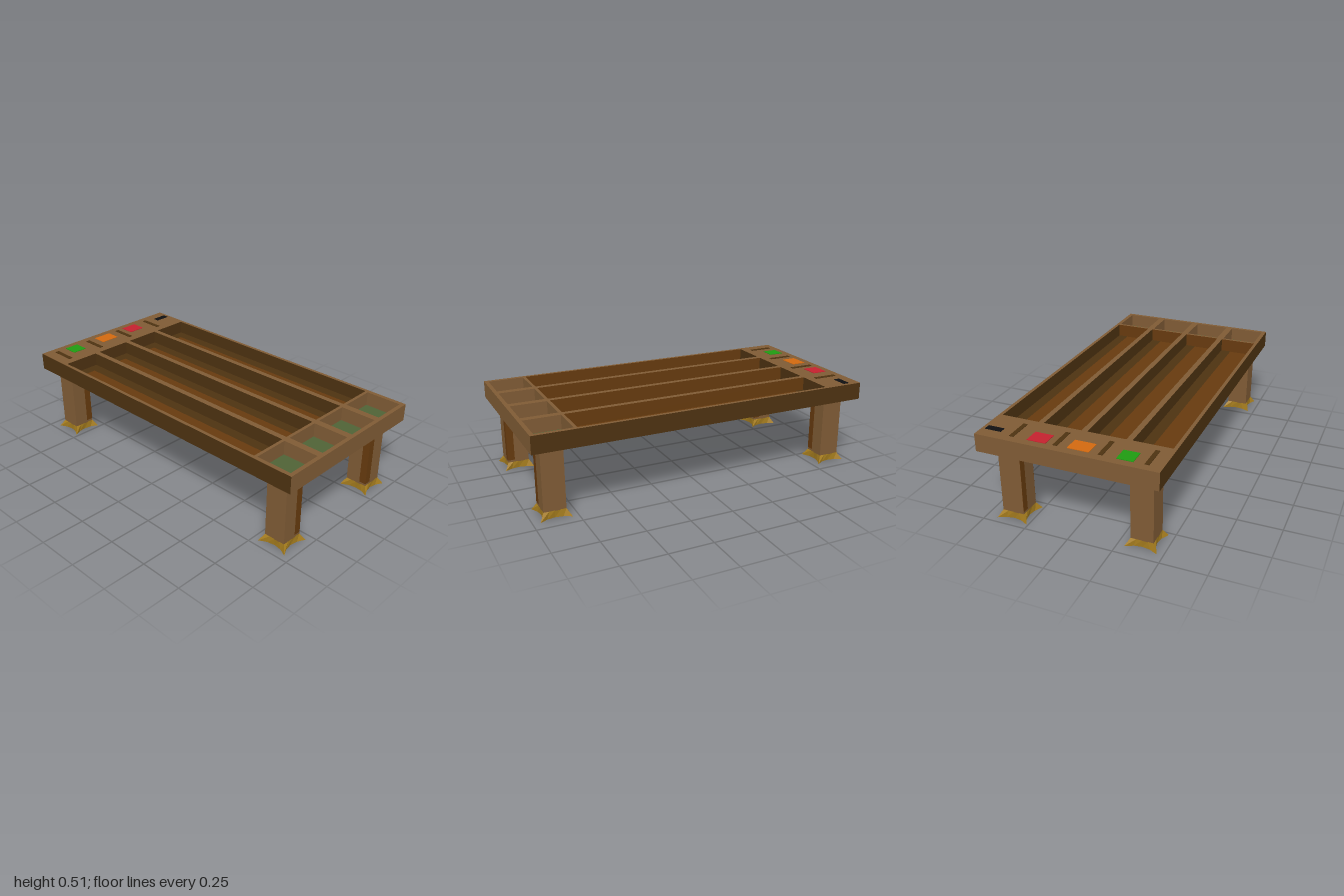
import * as THREE from 'three';

const paint = (name, color) => {
  const m = new THREE.MeshStandardMaterial({ color, side: THREE.DoubleSide });
  m.name = name;
  return m;
};

const TOP = 0.51, BASE = 0.41, FLOOR = 0.43;
const LANES = [-0.372, -0.125, 0.123, 0.372];

export function createModel() {
  const model = new THREE.Group();
  const wood = paint('light wood', 0x7f5b35);
  const darkWood = paint('dark wood', 0x4d3211);
  const redWood = paint('reddish wood', 0x663a0e);
  const felt = paint('green felt', 0x4f6236);
  const gold = paint('gold', 0xa67d1e);
  const black = paint('black', 0x0f1012);
  const red = paint('red', 0xc4222e);
  const orange = paint('orange', 0xd2690f);
  const green = paint('bright green', 0x1f9a12);

  const add = (name, geometry, material, x = 0, y = 0, z = 0, parent = model) => {
    const mesh = new THREE.Mesh(geometry, material);
    mesh.name = name;
    mesh.position.set(x, y, z);
    parent.add(mesh);
    return mesh;
  };
  const box = (name, mat, x0, x1, y0, y1, z0, z1, parent) =>
    add(name, new THREE.BoxGeometry(x1 - x0, y1 - y0, z1 - z0), mat,
      (x0 + x1) / 2, (y0 + y1) / 2, (z0 + z1) / 2, parent);
  // flat panels facing up, front (+z) and right-hand side (+x); turn flips them
  const floor = (name, mat, x0, x1, y, z0, z1) =>
    add(name, new THREE.PlaneGeometry(x1 - x0, z1 - z0).rotateX(-Math.PI / 2), mat,
      (x0 + x1) / 2, y, (z0 + z1) / 2);
  const wallZ = (name, mat, x0, x1, y0, y1, z, turn = 0) =>
    add(name, new THREE.PlaneGeometry(x1 - x0, y1 - y0).rotateY(turn), mat,
      (x0 + x1) / 2, (y0 + y1) / 2, z);
  const wallX = (name, mat, x, y0, y1, z0, z1, turn = 0) =>
    add(name, new THREE.PlaneGeometry(z1 - z0, y1 - y0).rotateY(Math.PI / 2 + turn), mat,
      x, (y0 + y1) / 2, (z0 + z1) / 2);

  // table rim
  wallZ('frontApron', darkWood, -1, 1, BASE, TOP, 0.5);
  wallZ('backApron', darkWood, -1, 1, BASE, TOP, -0.5, Math.PI);
  wallX('leftApron', wood, 1, BASE, TOP, -0.5, 0.5);
  wallX('rightApron', wood, -1, BASE, TOP, -0.5, 0.5, Math.PI);

  // open trays under the top: a long trough and a small felt bin per lane
  const top = new THREE.Shape([[-1, -0.5], [1, -0.5], [1, 0.5], [-1, 0.5]]
    .map(([x, y]) => new THREE.Vector2(x, y)));
  const tray = (name, x0, x1, z0, z1, base, back, side) => {
    top.holes.push(new THREE.Path([[x0, -z0], [x1, -z0], [x1, -z1], [x0, -z1]]
      .map(([x, y]) => new THREE.Vector2(x, y))));
    floor(name + 'Floor', base, x0, x1, FLOOR, z0, z1);
    wallZ(name + 'BackWall', back, x0, x1, FLOOR, TOP, z0);
    wallZ(name + 'FrontWall', side, x0, x1, FLOOR, TOP, z1, Math.PI);
    wallX(name + 'RightWall', back, x0, FLOOR, TOP, z0, z1);
    wallX(name + 'LeftWall', side, x1, FLOOR, TOP, z0, z1, Math.PI);
  };
  LANES.forEach((z) => {
    tray('trough', -0.763, 0.752, z - 0.108, z + 0.108, redWood, darkWood, redWood);
    floor('troughBackBand', darkWood, -0.763, 0.752, FLOOR + 0.002, z - 0.108, z - 0.047);
    floor('troughEndBand', darkWood, -0.763, -0.703, FLOOR + 0.002, z - 0.047, z + 0.108);
    tray('bin', 0.77, 0.977, z - 0.104, z + 0.104, felt, wood, wood);
  });
  add('tableTop', new THREE.ShapeGeometry(top).rotateX(-Math.PI / 2), wood, 0, TOP, 0);

  // painted lane markers, showing on both faces of the top
  const marker = (name, mat, x0, x1, z0, z1) =>
    box(name, mat, x0, x1, TOP - 0.003, TOP + 0.003, z0, z1);
  marker('blackMarker', black, -0.933, -0.897, -0.478, -0.386);
  marker('redMarker', red, -0.957, -0.868, -0.222, -0.118);
  marker('orangeMarker', orange, -0.955, -0.868, 0.0, 0.118);
  marker('greenMarker', green, -0.957, -0.868, 0.262, 0.35);
  [-0.312, -0.067, 0.177, 0.418].forEach((z) =>
    marker('laneDash', darkWood, -0.955, -0.812, z - 0.012, z + 0.012));

  // flared foot: square at the top, four-pointed star on the ground
  const ring = (half, inset, y) => {
    const points = [];
    for (let side = 0; side < 4; side++) {
      for (const t of [-1, -0.5, 0, 0.5]) {
        const out = half - inset * (1 - t * t);
        points.push(new THREE.Vector3(out, y, -half * t)
          .applyAxisAngle(new THREE.Vector3(0, 1, 0), side * Math.PI / 2));
      }
    }
    return points;
  };
  const surface = (triangles) => {
    const g = new THREE.BufferGeometry().setFromPoints(triangles);
    g.computeVertexNormals();
    return g;
  };
  const upper = ring(0.0625, 0, 0.042), lower = ring(0.0875, 0.03, 0);
  const flare = [], sole = [];
  lower.forEach((p, i) => {
    const j = (i + 1) % lower.length;
    flare.push(p, lower[j], upper[j], p, upper[j], upper[i]);
    sole.push(new THREE.Vector3(), lower[j], p);
  });
  const flareGeometry = surface(flare), soleGeometry = surface(sole);

  // legs with a dark strip down the inner corner; strip side is along x
  const leg = (name, x, z, stripSide) => {
    const group = new THREE.Group();
    group.name = name;
    group.position.set(x, 0, z);
    model.add(group);
    const h = 0.0625, inner = -Math.sign(z);
    box('post', wood, -h, h, 0.04, 0.392, -h, h, group);
    add('footFlare', flareGeometry, gold, 0, 0, 0, group);
    add('footSole', soleGeometry, black, 0, 0, 0, group);
    const strip = 0.04, mid = h - strip / 2, height = 0.337;
    add('sideStrip', new THREE.BoxGeometry(0.002, height, strip), redWood,
      h, 0.055 + height / 2, inner * mid, group);
    add('innerStrip', new THREE.BoxGeometry(strip, height, 0.002), redWood,
      stripSide * mid, 0.055 + height / 2, inner * h, group);
  };
  leg('frontLeftLeg', 0.872, 0.377, 1);
  leg('backLeftLeg', 0.872, -0.348, 1);
  leg('frontRightLeg', -0.853, 0.377, 1);
  leg('backRightLeg', -0.877, -0.348, -1);

  return model;
}
